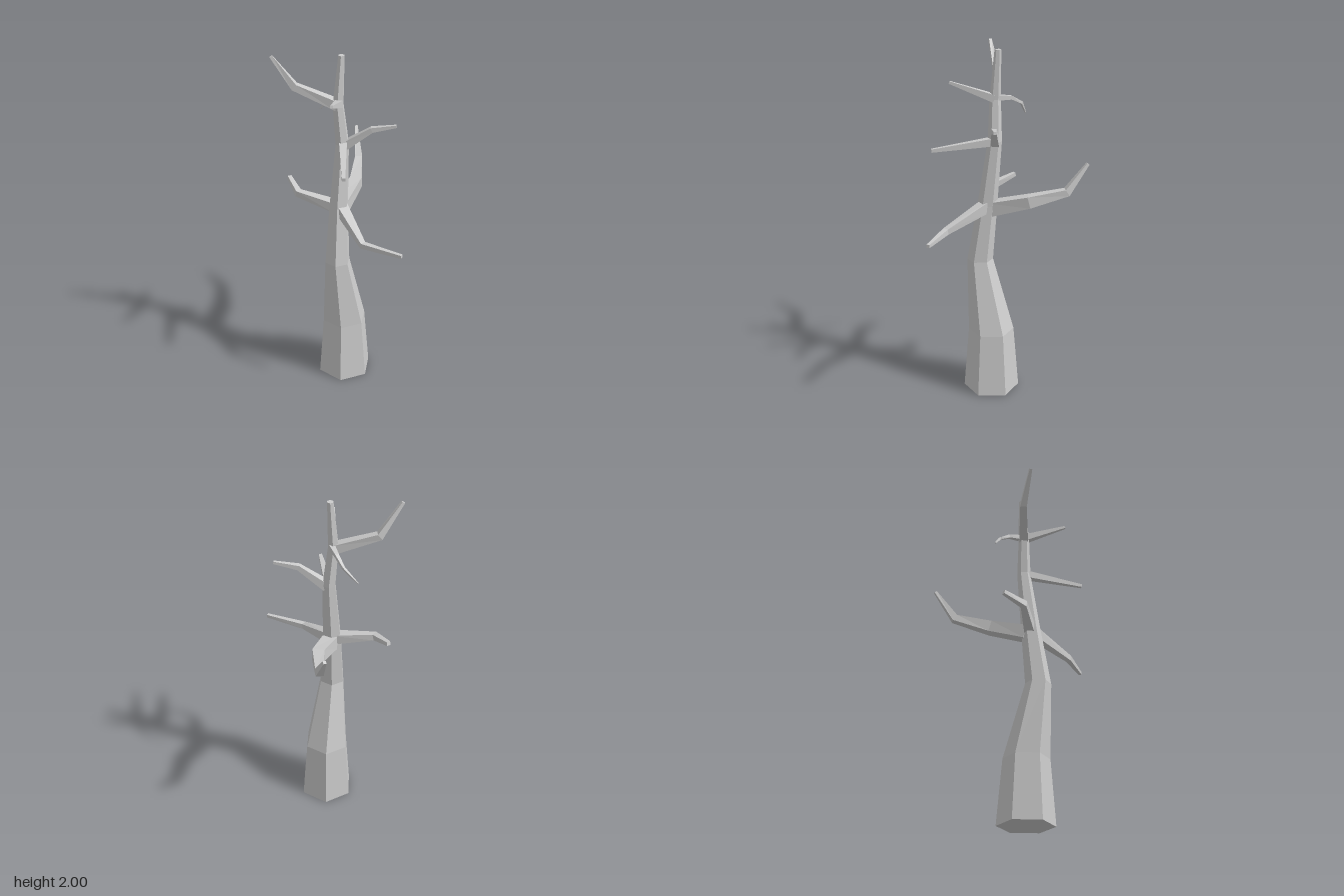
import * as THREE from 'three';

const material = new THREE.MeshStandardMaterial({ color: 0xcccccc, flatShading: true });

// Lofts a closed, capped limb through rings of [x, y, z, radius].
function limb(name, rings, sides, spin, level = false) {
  const centres = rings.map(([x, y, z]) => new THREE.Vector3(x, y, z));
  const up = level ? new THREE.Vector3(0, 0, -1) : new THREE.Vector3(0, 1, 0);
  const last = rings.length - 1;
  const positions = [];
  const indices = [];

  rings.forEach((ring, k) => {
    const along = new THREE.Vector3(0, 1, 0);
    if (!level) {
      along.set(0, 0, 0);
      if (k > 0) along.add(centres[k].clone().sub(centres[k - 1]).normalize());
      if (k < last) along.add(centres[k + 1].clone().sub(centres[k]).normalize());
      along.normalize();
    }
    const side = up.clone().cross(along).normalize();
    const over = along.clone().cross(side);
    for (let i = 0; i < sides; i++) {
      const a = spin + (i / sides) * Math.PI * 2;
      const p = centres[k].clone()
        .addScaledVector(side, Math.cos(a) * ring[3])
        .addScaledVector(over, Math.sin(a) * ring[3]);
      positions.push(p.x, p.y, p.z);
    }
  });

  // Side walls
  for (let k = 0; k < last; k++) {
    for (let i = 0; i < sides; i++) {
      const j = (i + 1) % sides;
      const a = k * sides + i, b = k * sides + j;
      indices.push(a, b, b + sides, a, b + sides, a + sides);
    }
  }
  // End caps
  for (let i = 1; i < sides - 1; i++) {
    indices.push(0, i + 1, i);
    indices.push(last * sides, last * sides + i, last * sides + i + 1);
  }

  const indexed = new THREE.BufferGeometry();
  indexed.setAttribute('position', new THREE.Float32BufferAttribute(positions, 3));
  indexed.setIndex(indices);
  const geometry = indexed.toNonIndexed();
  geometry.computeVertexNormals();
  const mesh = new THREE.Mesh(geometry, material);
  mesh.name = name;
  return mesh;
}

// Four-sided branch; the fourth number of each point is its half width.
function branch(name, points) {
  const rings = points.map(([x, y, z, half]) => [x, y, z, half * Math.SQRT2]);
  return limb(name, rings, 4, Math.PI / 4);
}

export function createModel() {
  const tree = new THREE.Group();
  tree.name = 'bareTree';

  // Crooked six-sided trunk with level cross-sections
  tree.add(limb('trunk', [
    [0.043, 0, -0.006, 0.16],
    [0.04, 0.37, -0.006, 0.13],
    [-0.018, 0.8, 0.033, 0.073],
    [0.003, 1.13, -0.002, 0.056],
    [0.035, 1.5, -0.03, 0.039],
    [0.016, 1.73, -0.043, 0.031],
    [0.036, 2, -0.047, 0.018],
  ], 6, 0, true));

  // Lower branches
  tree.add(branch('lowerBackLeftBranch', [
    [0.02, 1.11, -0.02, 0.04],
    [0.175, 1.17, -0.168, 0.033],
    [0.268, 1.218, -0.355, 0.021],
    [0.298, 1.372, -0.47, 0.008],
  ]));
  tree.add(branch('lowerBackRightBranch', [
    [0, 1.125, -0.01, 0.03],
    [-0.178, 1.17, -0.165, 0.018],
    [-0.183, 1.205, -0.3, 0.011],
  ]));
  tree.add(branch('lowerFrontBranch', [
    [0.012, 1.13, 0, 0.032],
    [0.032, 1.033, 0.28, 0.016],
    [0.178, 1.037, 0.468, 0.009],
  ]));

  // Middle branches
  tree.add(branch('middleFrontBranch', [
    [0.035, 1.5, -0.02, 0.022],
    [-0.087, 1.465, 0.297, 0.009],
  ]));
  tree.add(branch('middleLeftBranch', [
    [0.045, 1.49, -0.025, 0.024],
    [0.17, 1.6, 0.058, 0.014],
    [0.284, 1.627, 0.122, 0.007],
  ]));

  // Upper branches
  tree.add(branch('upperRightBranch', [
    [0.015, 1.725, -0.045, 0.026],
    [-0.182, 1.81, -0.175, 0.019],
    [-0.298, 1.985, -0.2, 0.008],
  ]));
  tree.add(branch('upperFrontBranch', [
    [0.02, 1.735, -0.035, 0.021],
    [-0.104, 1.822, 0.172, 0.007],
  ]));
  tree.add(branch('upperBackTwig', [
    [0.03, 1.74, -0.05, 0.015],
    [0.043, 1.732, -0.13, 0.01],
    [0.042, 1.695, -0.195, 0.007],
    [-0.01, 1.62, -0.256, 0.003],
  ]));

  return tree;
}
